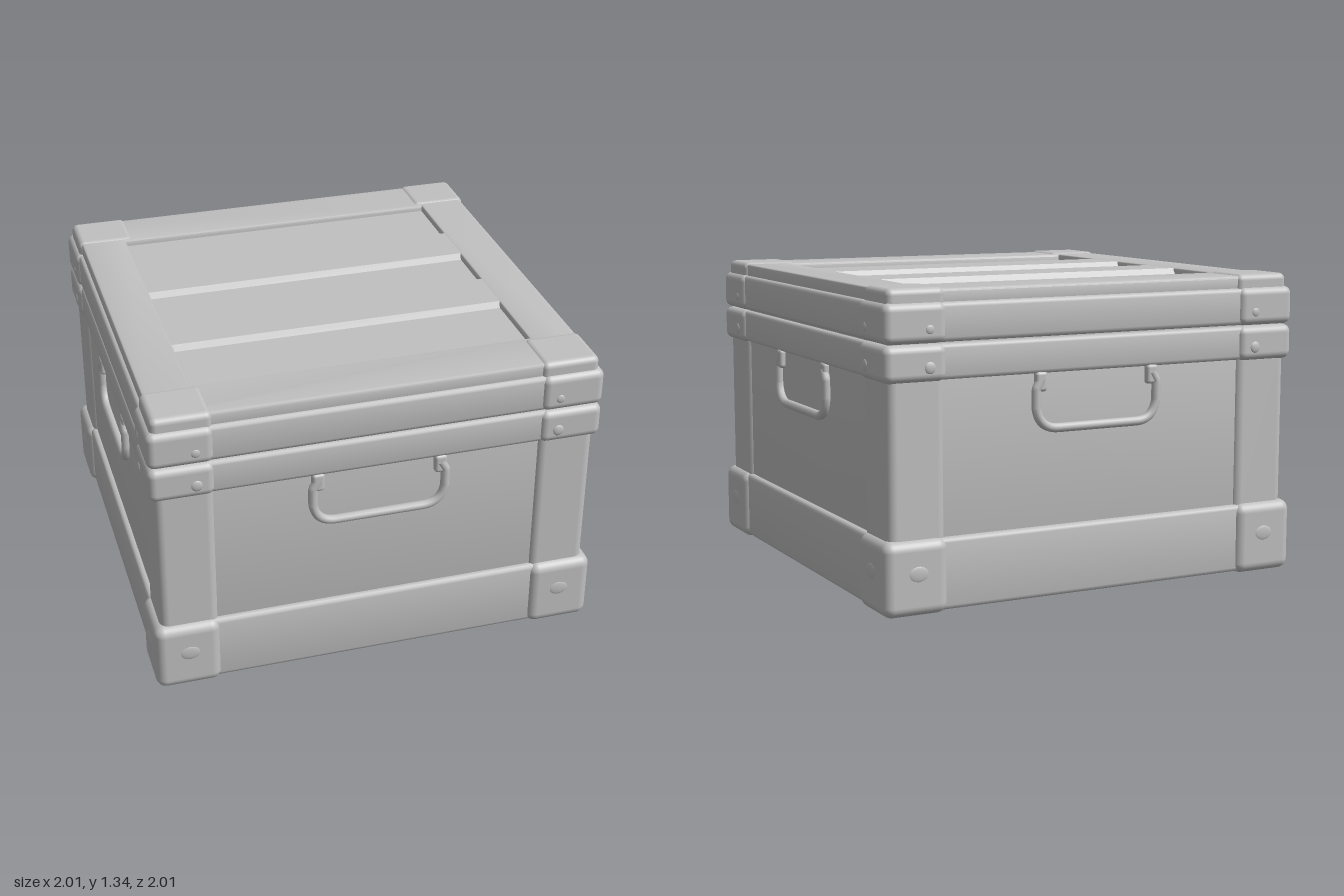
import * as THREE from 'three';
import { toCreasedNormals } from 'three/addons/utils/BufferGeometryUtils.js';
import { RoundedBoxGeometry } from 'three/addons/geometries/RoundedBoxGeometry.js';

const shellGrey = new THREE.MeshStandardMaterial({ color: 0xc0c0c0 });
shellGrey.name = 'shell grey';

function add(parent, name, geometry, x = 0, y = 0, z = 0) {
  const mesh = new THREE.Mesh(geometry, shellGrey);
  mesh.name = name;
  mesh.position.set(x, y, z);
  parent.add(mesh);
  return mesh;
}

// Square slab with rounded corners, bevelled rims and optional [x0, x1, z0, z1] openings
function slab(half, y0, y1, radius, bevel, holes = []) {
  const s = new THREE.Shape();
  const c = half - radius;
  s.absarc(c, c, radius, 0, Math.PI / 2);
  s.absarc(-c, c, radius, Math.PI / 2, Math.PI);
  s.absarc(-c, -c, radius, Math.PI, Math.PI * 1.5);
  s.absarc(c, -c, radius, Math.PI * 1.5, Math.PI * 2);
  s.closePath();
  for (const [x0, x1, z0, z1] of holes) {
    const p = new THREE.Path();
    p.moveTo(x0, z0);
    p.lineTo(x0, z1);
    p.lineTo(x1, z1);
    p.lineTo(x1, z0);
    p.closePath();
    s.holes.push(p);
  }
  const g = new THREE.ExtrudeGeometry(s, {
    depth: y1 - y0 - 2 * bevel, bevelEnabled: true, bevelThickness: bevel,
    bevelSize: bevel, bevelOffset: -bevel, bevelSegments: 3, curveSegments: 6,
  });
  g.translate(0, 0, bevel);
  g.rotateX(-Math.PI / 2);
  g.translate(0, y0, 0);
  return toCreasedNormals(g, 0.6);
}

// Fitting repeated on the four vertical corners, from inner to outer on x and z
function corners(parent, name, inner, innerZ, outer, y0, y1, radius) {
  for (const sx of [-1, 1]) for (const sz of [-1, 1]) {
    const g = new RoundedBoxGeometry(outer - inner, y1 - y0, outer - innerZ, 4, radius);
    add(parent, name, g, sx * (outer + inner) / 2, (y0 + y1) / 2, sz * (outer + innerZ) / 2);
  }
}

// Swinging handle lying flat against a wall, built for the front
function handle() {
  const group = new THREE.Group();
  group.name = 'handle';
  const path = new THREE.CurvePath();
  const v = (x, y) => new THREE.Vector3(x, y, 0);
  path.add(new THREE.LineCurve3(v(-0.27, 0.94), v(-0.293, 0.9)));
  path.add(new THREE.LineCurve3(v(-0.293, 0.9), v(-0.293, 0.82)));
  path.add(new THREE.QuadraticBezierCurve3(v(-0.293, 0.82), v(-0.28, 0.73), v(-0.19, 0.73)));
  path.add(new THREE.LineCurve3(v(-0.19, 0.73), v(0.19, 0.73)));
  path.add(new THREE.QuadraticBezierCurve3(v(0.19, 0.73), v(0.28, 0.73), v(0.293, 0.82)));
  path.add(new THREE.LineCurve3(v(0.293, 0.82), v(0.293, 0.9)));
  path.add(new THREE.LineCurve3(v(0.293, 0.9), v(0.27, 0.94)));
  add(group, 'handleBar', new THREE.TubeGeometry(path, 90, 0.02, 10), 0, 0, 0.963);
  for (const s of [-1, 1]) {
    add(group, 'handleLug', new RoundedBoxGeometry(0.055, 0.085, 0.05, 3, 0.015), s * 0.27, 0.93, 0.952);
  }
  return group;
}

export function createModel() {
  const model = new THREE.Group();
  model.name = 'storageCase';

  // Walls, with the underside showing through the base openings
  add(model, 'body', slab(0.95, 0.035, 1.27, 0.05, 0.005));
  corners(model, 'cornerPost', 0.71, 0.71, 0.968, 0.27, 1.0, 0.04);

  // Base band with two shallow pans underneath
  add(model, 'baseBand', slab(0.978, 0.008, 0.312, 0.05, 0.02,
    [[-0.7, -0.14, -0.7, 0.7], [0.14, 0.7, -0.7, 0.7]]));
  corners(model, 'baseCorner', 0.71, 0.71, 1.0, 0, 0.318, 0.045);

  // Body rim and lid rim, split by a narrow seam
  add(model, 'bodyRim', slab(0.975, 0.965, 1.112, 0.05, 0.018));
  corners(model, 'bodyRimCorner', 0.71, 0.71, 0.99, 0.96, 1.114, 0.035);
  add(model, 'lidRim', slab(0.975, 1.118, 1.28, 0.05, 0.02));
  corners(model, 'lidRimCorner', 0.71, 0.71, 0.99, 1.116, 1.284, 0.035);

  // Lid top: frame, sunken floor and two raised ribs
  add(model, 'lidFrame', slab(0.955, 1.26, 1.334, 0.05, 0.012, [[-0.745, 0.745, -0.715, 0.715]]));
  corners(model, 'lidCorner', 0.71, 0.725, 0.968, 1.25, 1.341, 0.028);
  add(model, 'lidFloor', new THREE.BoxGeometry(1.52, 0.04, 1.46), 0, 1.286, 0);
  for (const z of [-0.27, 0.24]) {
    const rib = new THREE.Shape();
    rib.moveTo(-0.135, 0);
    rib.lineTo(0.135, 0);
    rib.lineTo(0.115, 0.03);
    rib.lineTo(-0.115, 0.03);
    rib.closePath();
    const g = new THREE.ExtrudeGeometry(rib, { depth: 1.51, bevelEnabled: false });
    g.translate(0, 0, -0.755);
    g.rotateY(Math.PI / 2);
    add(model, 'lidRib', g, 0, 1.302, z);
  }

  // Handles and small rivets on all four sides
  for (let i = 0; i < 4; i++) {
    const side = new THREE.Group();
    side.name = 'sideFittings';
    side.rotation.y = i * Math.PI / 2;
    side.add(handle());
    for (const s of [-1, 1]) {
      const boss = add(side, 'baseBoss', new THREE.SphereGeometry(0.045, 16, 10), s * 0.85, 0.18, 0.998);
      boss.scale.set(1, 0.75, 0.15);
      for (const [y, r] of [[1.02, 0.026], [1.175, 0.02]]) {
        const rivet = add(side, 'rivet', new THREE.SphereGeometry(r, 12, 8), s * 0.79, y, 0.988);
        rivet.scale.z = 0.35;
      }
    }
    model.add(side);
  }
  return model;
}
